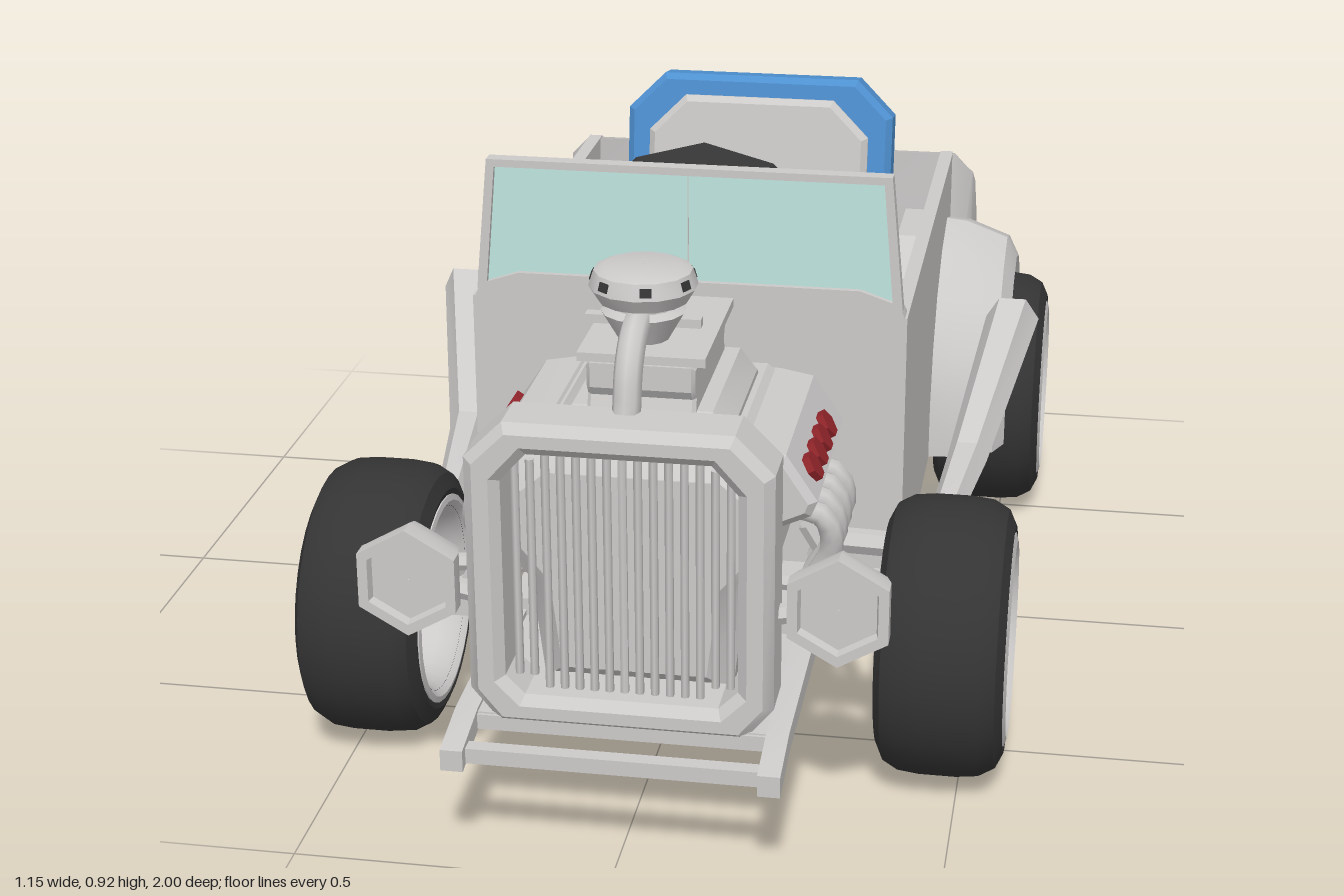
import * as THREE from 'three';
import { toCreasedNormals } from 'three/addons/utils/BufferGeometryUtils.js';

const mat = (name, color, side = THREE.FrontSide) => new THREE.MeshStandardMaterial({ name, color, side });

export function createModel() {
  const root = new THREE.Group();
  root.name = 'roadster';
  const grey = mat('body grey', 0xcccac9, THREE.DoubleSide);
  const dark = mat('rubber', 0x343434);
  const blue = mat('seat blue', 0x4e90d0);
  const red = mat('red', 0x92252b);
  const olive = mat('olive', 0x8a9644);
  const glass = mat('glass', 0xc0e6df, THREE.DoubleSide);

  // ---- helpers ----
  const add = (name, geo, m, crease = 0.5) => {
    const mesh = new THREE.Mesh(toCreasedNormals(geo, crease), m);
    mesh.name = name;
    root.add(mesh);
    return mesh;
  };
  const box = (name, m, w, h, d, x, y, z) => add(name, new THREE.BoxGeometry(w, h, d).translate(x, y, z), m);
  const shapeOf = (pts, hole) => {
    const s = new THREE.Shape(pts.map(p => new THREE.Vector2(...p)));
    if (hole) s.holes.push(new THREE.Path(hole.map(p => new THREE.Vector2(...p))));
    return s;
  };
  const extrude = (shape, depth, b = 0) => new THREE.ExtrudeGeometry(shape, {
    depth: depth - 2 * b, bevelEnabled: b > 0, bevelThickness: b, bevelSize: b, bevelOffset: -b, bevelSegments: 1, curveSegments: 12,
  }).translate(0, 0, b);
  // front outline (x, y) pushed along z
  const frontPart = (name, m, pts, z0, z1, b = 0, hole) => add(name, extrude(shapeOf(pts, hole), z1 - z0, b).translate(0, 0, z0), m);
  // side outline (z, y) pushed along x
  const sidePart = (name, m, pts, x0, x1, b = 0, crease = 0.5) => add(name, extrude(shapeOf(pts), x1 - x0, b).rotateY(-Math.PI / 2).translate(x1, 0, 0), m, crease);
  const mirror = half => [...half, ...half.map(([x, y]) => [-x, y]).reverse()];
  const tube = (name, m, pts, r, sides = 8) => add(name, new THREE.TubeGeometry(
    new THREE.CatmullRomCurve3(pts.map(p => new THREE.Vector3(...p))), pts.length > 2 ? 10 : 1, r, sides), m, 1);
  // skin over rows of closed point rings
  const loft = rows => {
    const n = rows[0].length, idx = [];
    for (let i = 0; i < rows.length - 1; i++) for (let j = 0; j < n; j++) {
      const a = i * n + j, b = i * n + (j + 1) % n;
      idx.push(a, b, a + n, b, b + n, a + n);
    }
    const g = new THREE.BufferGeometry();
    g.setAttribute('position', new THREE.Float32BufferAttribute(rows.flat(2), 3));
    g.setIndex(idx);
    return g.toNonIndexed();
  };

  // ---- body tub, tail and windscreen ----
  sidePart('tail', grey, [[-0.67, 0.185], [-0.67, 0.678], [-0.74, 0.66], [-0.82, 0.62], [-0.895, 0.535], [-0.945, 0.45], [-0.985, 0.355], [-0.96, 0.185]], -0.41, 0.41, 0.04, 0.85);
  box('floor', grey, 0.74, 0.03, 1.0, 0, 0.203, -0.2);
  frontPart('firewall', grey, mirror([[0.37, 0.19], [0.37, 0.67], [0.355, 0.7], [0.29, 0.722]]), 0.25, 0.29);
  const screen = [[-0.362, 0.69], [0.362, 0.69], [0.34, 0.92], [-0.34, 0.92]];
  const pane = [[-0.345, 0.7], [0.345, 0.7], [0.327, 0.907], [-0.327, 0.907]];
  frontPart('windscreenFrame', grey, screen, 0.264, 0.29, 0, pane);
  frontPart('windscreenGlass', glass, pane, 0.274, 0.28);
  box('windscreenDivider', grey, 0.002, 0.2, 0.008, 0, 0.805, 0.277);

  for (const s of [1, -1]) {
    const side = s > 0 ? 'left' : 'right';
    const span = (a, b) => s > 0 ? [a, b] : [-b, -a];
    sidePart(side + 'DoorWall', grey, [[0.29, 0.19], [0.29, 0.678], [-0.69, 0.678], [-0.69, 0.19]], ...span(0.345, 0.37));
    sidePart(side + 'WheelHousing', grey, [[-0.3, 0.21], [-0.42, 0.5], [-0.5, 0.56], [-0.68, 0.56], [-0.68, 0.21]], ...span(0.28, 0.36));

    // rear fender: chamfered section swept over the wheel
    const rows = [];
    for (let i = 0; i <= 10; i++) {
      const a = -0.13 + i * (Math.PI + 0.26) / 10, k = 1 - 0.11 * Math.abs(Math.cos(a));
      rows.push([[0.36, 0.345], [0.41, 0.34], [0.49, 0.31], [0.51, 0.27], [0.5, 0.25], [0.37, 0.25]].map(([x, r]) =>
        [s * x, 0.23 + r * k * Math.sin(a), -0.58 + r * k * Math.cos(a)]));
    }
    add(side + 'RearFender', loft(rows), grey, 0.45);

    // six-sided exhaust pipe, widening to an open end
    const ring = (x, y, z, r) => Array.from({ length: 6 }, (_, j) => {
      const a = j * Math.PI / 3;
      return [s * (x + r * 0.9 * Math.cos(a)), y + r * Math.sin(a), z + r * 0.6 * Math.sin(a) * (z < -0.1 ? 1 : 0)];
    });
    add(side + 'ExhaustPipe', loft([ring(0.425, 0.275, 0.32, 0.024), ring(0.437, 0.288, 0.22, 0.03), ring(0.46, 0.31, 0.01, 0.04),
      ring(0.52, 0.49, -0.26, 0.054), ring(0.52, 0.49, -0.26, 0.042), ring(0.51, 0.46, -0.2, 0.038), ring(0.51, 0.46, -0.2, 0.001)]), grey, 0.4);

    // tail lamps lean with the sloping tail
    for (const [n, m, w, h, d] of [['Bezel', grey, 0.136, 0.066, 0.016], ['Lens', red, 0.116, 0.05, 0.032]]) {
      const q = 0.014, x = w / 2, y = h / 2;
      const pts = mirror([[x - q, -y], [x, -y + q], [x, y - q], [x - q, y]]);
      const lamp = add(side + 'TailLamp' + n, extrude(shapeOf(pts), d).translate(0, 0, -d / 2), m);
      lamp.position.set(s * 0.28, 0.366, -0.979);
      lamp.rotation.x = 0.22;
    }

    // headlamps
    const lamp = new THREE.LatheGeometry([[0.001, -0.108], [0.03, -0.106], [0.06, -0.09], [0.078, -0.06], [0.088, -0.03], [0.088, 0], [0.07, 0], [0.066, -0.015], [0.001, -0.015]]
      .map(p => new THREE.Vector2(...p)), 6).rotateX(Math.PI / 2);
    add(side + 'Headlamp', lamp, grey, 0.4).position.set(s * 0.33, 0.43, 0.9);
    tube(side + 'HeadlampBracket', grey, [[s * 0.32, 0.41, 0.84], [s * 0.21, 0.39, 0.84]], 0.016, 6);

    // chassis rail and front suspension
    sidePart(side + 'ChassisRail', grey, [[1, 0.17], [1, 0.205], [0.9, 0.225], [0.28, 0.235], [0.28, 0.195], [0.9, 0.19]], ...span(0.225, 0.26));
    tube(side + 'RadiusRod', grey, [[s * 0.34, 0.27, 0.54], [s * 0.25, 0.25, 0.29]], 0.015, 6);
    tube(side + 'SteeringArm', grey, [[s * 0.38, 0.295, 0.54], [s * 0.18, 0.305, 0.54]], 0.015, 6);
    tube(side + 'Damper', grey, [[s * 0.34, 0.24, 0.54], [s * 0.24, 0.42, 0.56]], 0.016, 6);

    // valve cover bolts and exhaust headers
    for (let i = 0; i < 4; i++) {
      const z = 0.475 + i * 0.058;
      const bolt = new THREE.CylinderGeometry(0.024, 0.024, 0.024, 6).rotateZ(-s * 1.01).translate(s * 0.255, 0.555, z);
      add(side + 'Bolt' + i, bolt, red);
      tube(side + 'Header' + i, grey, [[s * 0.2, 0.49, z], [s * 0.275, 0.475, z], [s * 0.29, 0.42, z - 0.015], [s * 0.25, 0.33, z - 0.04]], 0.019);
    }
    tube(side + 'Collector', grey, [[s * 0.25, 0.32, 0.66], [s * 0.25, 0.285, 0.32]], 0.024, 6);
    tube(side + 'CollectorElbow', grey, [[s * 0.25, 0.28, 0.315], [s * 0.43, 0.275, 0.315]], 0.022, 6);
  }

  // ---- chassis front ----
  box('underTray', grey, 0.46, 0.02, 0.62, 0, 0.21, 0.59);
  for (const z of [0.42, 0.66]) box('crossMember', grey, 0.46, 0.02, 0.04, 0, 0.2, z);
  box('frontBar', grey, 0.46, 0.025, 0.025, 0, 0.188, 0.97);
  box('frontCrossMember', grey, 0.46, 0.025, 0.03, 0, 0.205, 0.89);
  box('frontAxle', grey, 0.78, 0.04, 0.05, 0, 0.23, 0.54);
  box('rearAxle', grey, 0.78, 0.04, 0.05, 0, 0.23, -0.58);

  // ---- grille ----
  const shell = mirror([[0.19, 0.205], [0.235, 0.26], [0.235, 0.645], [0.175, 0.705]]);
  const opening = mirror([[0.15, 0.255], [0.18, 0.285], [0.18, 0.61], [0.14, 0.655]]);
  frontPart('grilleShell', grey, shell, 0.8, 0.91, 0.015, opening);
  for (let i = 0; i < 15; i++) {
    const x = (i - 7) * 0.0235, h = Math.abs(x) > 0.14 ? 0.36 : 0.41;
    add('grilleBar' + i, new THREE.CylinderGeometry(0.007, 0.007, h, 6).translate(x, 0.455, 0.865), grey, 1.2);
  }

  // ---- engine ----
  frontPart('engineBlock', grey, mirror([[0.15, 0.21], [0.17, 0.38], [0.22, 0.44], [0.22, 0.56], [0.15, 0.62]]), 0.34, 0.79, 0.04);
  frontPart('valveCovers', grey, mirror([[0.2, 0.47], [0.265, 0.5], [0.275, 0.525], [0.225, 0.6], [0.17, 0.61]]), 0.36, 0.72, 0.012);
  sidePart('intake', grey, [[0.74, 0.58], [0.705, 0.68], [0.715, 0.695], [0.715, 0.735], [0.42, 0.735], [0.42, 0.695], [0.43, 0.68], [0.38, 0.58]], -0.085, 0.085, 0.006);
  box('intakePlate', grey, 0.2, 0.014, 0.28, 0, 0.742, 0.57);
  sidePart('intakeBase', grey, [[0.78, 0.58], [0.7, 0.66], [0.42, 0.66], [0.36, 0.58]], -0.14, 0.14, 0.03);
  tube('frontAirPipe', grey, [[0, 0.7, 0.825], [0, 0.765, 0.805], [0, 0.805, 0.76], [0, 0.815, 0.69]], 0.022);
  tube('rearAirPipe', grey, [[0, 0.815, 0.66], [0, 0.815, 0.57], [0, 0.79, 0.52], [0, 0.73, 0.49]], 0.022);
  box('throttleBar', grey, 0.18, 0.014, 0.02, 0, 0.798, 0.68);
  const cleaner = new THREE.LatheGeometry([[0.001, 0.77], [0.04, 0.77], [0.066, 0.815], [0.05, 0.822], [0.05, 0.832], [0.07, 0.832], [0.084, 0.855], [0.076, 0.88], [0.06, 0.887], [0.001, 0.887]]
    .map(p => new THREE.Vector2(...p)), 14);
  add('airCleaner', cleaner, grey).position.z = 0.68;
  for (let i = 0; i < 14; i += 2) {
    const slot = new THREE.BoxGeometry(0.018, 0.014, 0.006).rotateX(-0.3).translate(0, 0.867, 0.078).rotateY((i + 0.5) * Math.PI / 7);
    add('airSlot' + i, slot, dark).position.z = 0.68;
  }

  // ---- seat ----
  const seatBase = mirror([[0.2, 0.015], [0.26, 0.08], [0.26, 0.5], [0.2, 0.56]]);
  add('seatBase', extrude(shapeOf(seatBase), 0.14, 0.025).rotateX(-Math.PI / 2).translate(0, 0.24, 0), blue);
  const cushion = mirror([[0.16, 0.09], [0.215, 0.15], [0.215, 0.46], [0.18, 0.48]]);
  add('seatCushion', extrude(shapeOf(cushion), 0.05, 0.015).rotateX(-Math.PI / 2).translate(0, 0.36, 0), grey);
  const back = (w, y0, y1, q) => shapeOf(mirror([[w, y0], [w, y1 - q], [w - q, y1]]));
  for (const [n, m, w, y0, y1, d, z] of [['Frame', blue, 0.26, 0, 0.57, 0.085, -0.085], ['Panel', grey, 0.215, 0.05, 0.53, 0.03, -0.01]]) {
    const b = add('seatBack' + n, extrude(back(w, y0, y1, 0.07), d, 0.012).translate(0, 0, z), m);
    b.position.set(0, 0.29, -0.457);
    b.rotation.x = -0.17;
  }

  // ---- steering wheel ----
  const rim = new THREE.LatheGeometry([[0.175, -0.02], [0.195, -0.037], [0.21, -0.037], [0.238, 0], [0.21, 0.037], [0.195, 0.037], [0.175, 0.02], [0.175, -0.02]]
    .map(p => new THREE.Vector2(...p)), 12).rotateX(Math.PI / 2);
  add('steeringRim', rim, dark, 0.2).position.set(0, 0.675, 0.113);
  for (let i = 0; i < 3; i++) for (const o of [-0.016, 0.016]) {
    const spoke = new THREE.BoxGeometry(0.018, 0.19, 0.018).translate(o, 0.1, 0).rotateZ(Math.PI + i * Math.PI * 2 / 3);
    add('steeringSpoke', spoke, olive).position.set(0, 0.675, 0.113);
  }
  add('steeringHub', new THREE.CylinderGeometry(0.052, 0.052, 0.04, 8).rotateX(Math.PI / 2).translate(0, 0.675, 0.11), red);

  // ---- wheels: axis along x, outer face on the outside ----
  const lathe = (pts, seg) => new THREE.LatheGeometry(pts.map(p => new THREE.Vector2(...p)), seg).rotateZ(-Math.PI / 2);
  const tyre = lathe([[0.155, -0.095], [0.185, -0.102], [0.21, -0.09], [0.224, -0.065], [0.228, -0.03], [0.228, 0.03], [0.224, 0.065], [0.21, 0.09], [0.185, 0.102], [0.155, 0.095]], 32);
  const barrel = lathe([[0.15, -0.09], [0.165, -0.104], [0.175, -0.102], [0.17, 0.098], [0.174, 0.102], [0.16, 0.106], [0.147, 0.088], [0.142, 0.05], [0.14, -0.06], [0.15, -0.09]], 32);
  const hub = lathe([[0.001, -0.04], [0.05, -0.04], [0.09, 0.05], [0.085, 0.064], [0.07, 0.07], [0.066, 0.086], [0.045, 0.096], [0.001, 0.099]], 20);
  const disc = new THREE.Shape().absarc(0, 0, 0.145, 0, Math.PI * 2);
  for (let i = 0; i < 12; i++) {
    const a = i * Math.PI / 6;
    disc.holes.push(new THREE.Path().absellipse(0.117 * Math.cos(a), 0.117 * Math.sin(a), 0.01, 0.017, 0, Math.PI * 2, true, a));
  }
  const face = extrude(disc, 0.02).rotateY(Math.PI / 2).translate(0.045, 0, 0);
  for (const [end, z] of [['Front', 0.54], ['Rear', -0.58]]) for (const s of [1, -1]) {
    for (const [n, g, m] of [['Tyre', tyre, dark], ['Rim', barrel, grey], ['Hub', hub, grey], ['Disc', face, grey]]) {
      const w = add((s > 0 ? 'left' : 'right') + end + n, g, m, 0.6);
      w.position.set(s * 0.47, 0.228, z);
      w.rotation.y = s > 0 ? 0 : Math.PI;
    }
  }
  return root;
}
